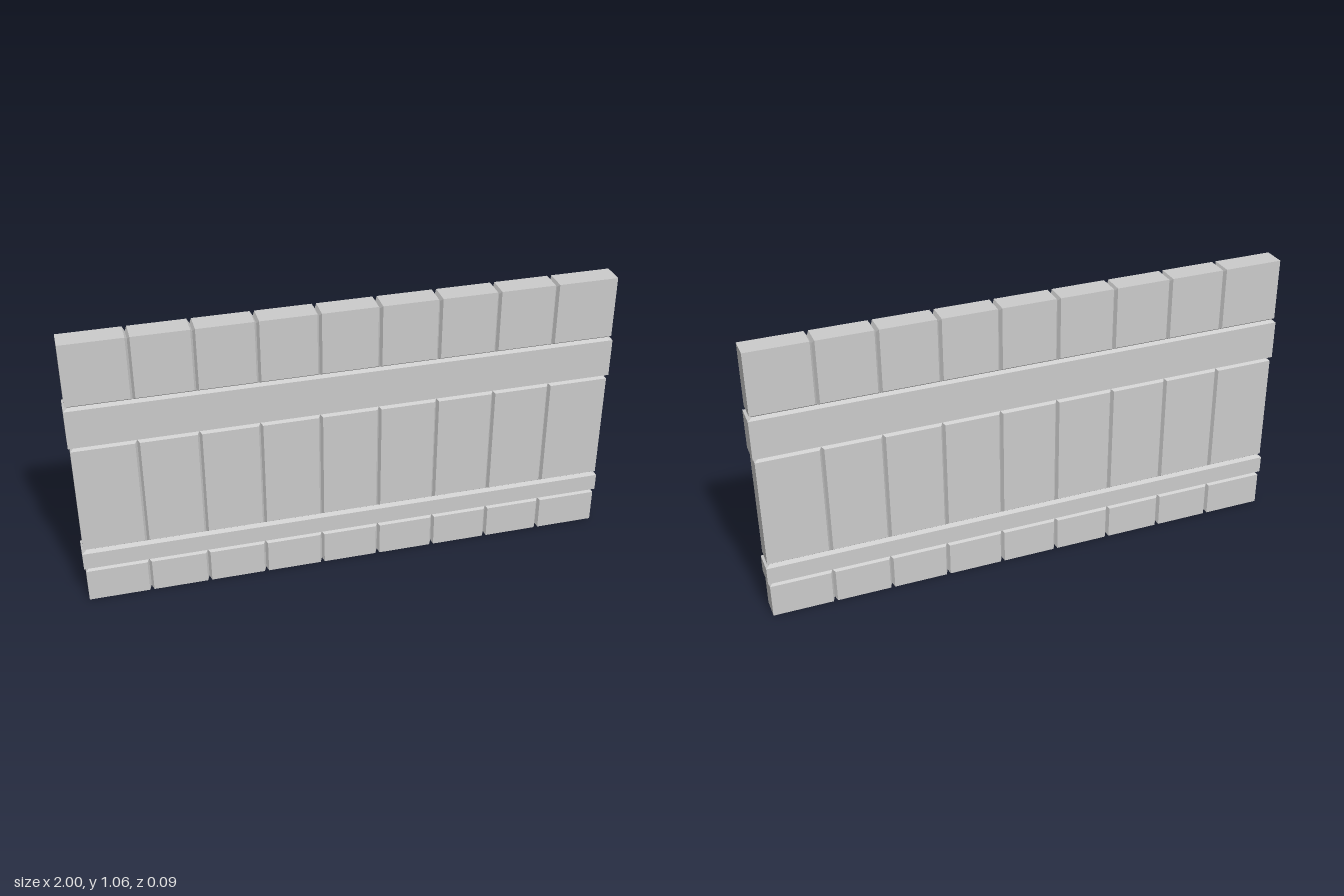
import * as THREE from 'three';
import { ConvexGeometry } from 'three/addons/geometries/ConvexGeometry.js';

const material = new THREE.MeshStandardMaterial({ color: 0xcccccc, flatShading: true });
const CORE_Z = 0.03; // half thickness at the bottom of the V grooves

// Eight corners of a box given as [min, max] per axis
function corners(xs, ys, zs) {
  const points = [];
  for (const x of xs) for (const y of ys) for (const z of zs) points.push(new THREE.Vector3(x, y, z));
  return points;
}

// Board whose bevels run from the outer face box down to the core box
function bevelledBoard(name, outerX, outerY, halfZ, coreX, coreY) {
  const points = [
    ...corners(outerX, outerY, [-halfZ, halfZ]),
    ...corners(coreX, coreY, [-CORE_Z, CORE_Z]),
  ];
  const mesh = new THREE.Mesh(new ConvexGeometry(points), material);
  mesh.name = name;
  return mesh;
}

export function createModel() {
  const model = new THREE.Group();
  model.name = 'plankPanel';

  // Horizontal rails, slightly proud of the planks
  const rails = [
    { name: 'lowerRail', outer: [0.144, 0.21], core: [0.136, 0.219] },
    { name: 'upperRail', outer: [0.662, 0.809], core: [0.653, 0.817] },
  ];
  for (const r of rails) {
    model.add(bevelledBoard(r.name, [-1, 1], r.outer, 0.045, [-0.982, 0.982], r.core));
  }

  // Three rows of vertical planks between and beyond the rails
  const rows = [
    { name: 'lowerPlank', outer: [0, 0.128], core: [0.012, 0.136] },
    { name: 'middlePlank', outer: [0.228, 0.646], core: [0.219, 0.653] },
    { name: 'upperPlank', outer: [0.826, 1.06], core: [0.817, 1.048] },
  ];
  const count = 9, step = 0.218, inset = 0.008;
  for (const row of rows) {
    for (let i = 0; i < count; i++) {
      const left = (i - count / 2) * step, right = left + step;
      const first = i === 0, last = i === count - 1;
      model.add(bevelledBoard(
        row.name + (i + 1),
        [first ? -0.994 : left + inset, last ? 0.994 : right - inset],
        row.outer, 0.042,
        [first ? -0.982 : left, last ? 0.982 : right],
        row.core,
      ));
    }
  }
  return model;
}
